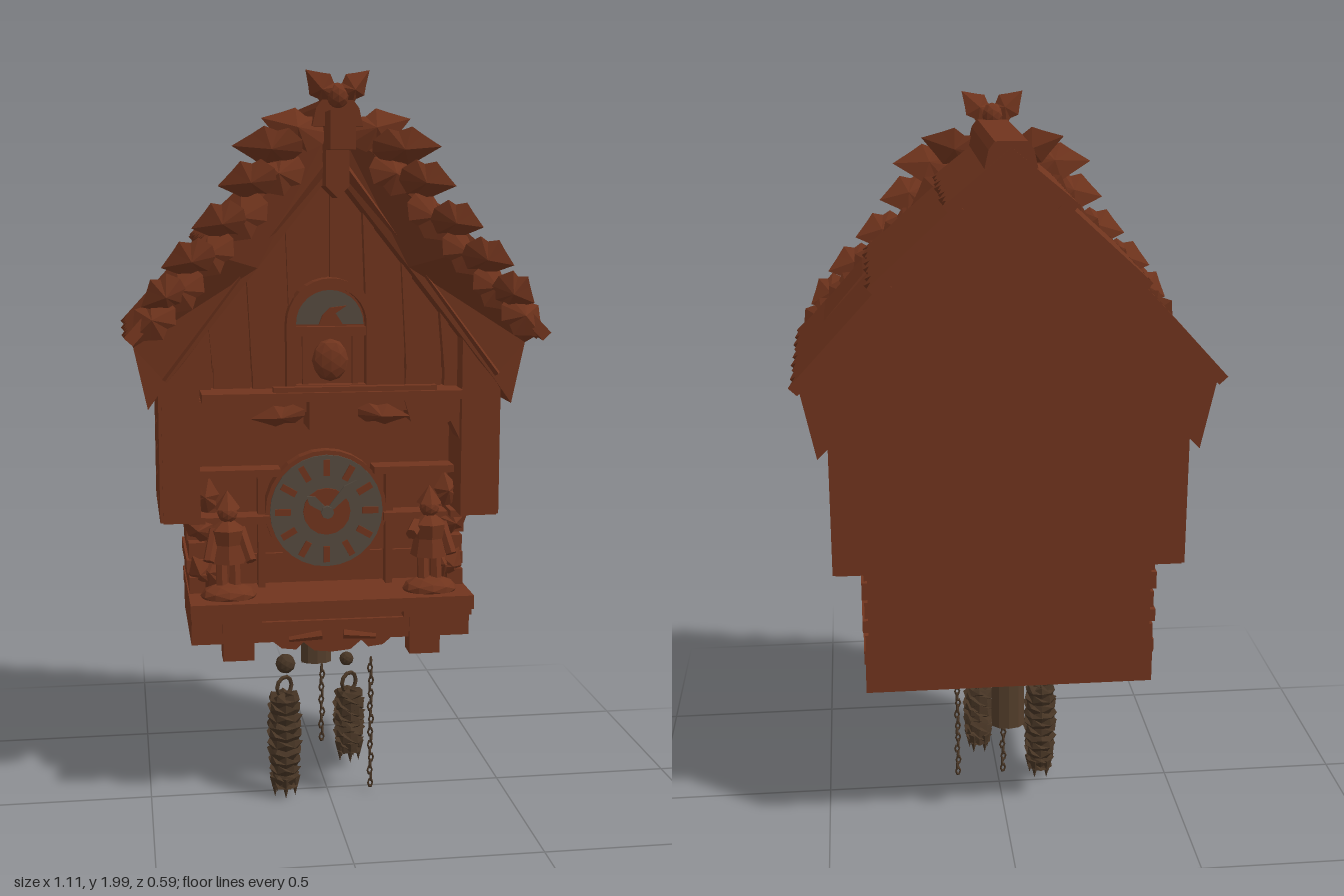
import * as THREE from 'three';

const material = (name, color) => Object.assign(new THREE.MeshStandardMaterial({ color }), { name });

export function createModel() {
  const root = new THREE.Group();
  root.name = 'wallClock';
  const wood = material('red brown wood', 0x70341d);
  const grey = material('weathered grey', 0x554a3f);
  const bark = material('dark bark', 0x463424);
  const rodMat = material('rod brown', 0x543e2b);

  // Facet a geometry, optionally mirrored across x = 0
  function facet(geo, mirror = false) {
    const g = geo.index ? geo.toNonIndexed() : geo.clone();
    if (mirror) {
      const p = g.attributes.position;
      for (let i = 0; i < p.count; i += 3) {
        const t = [0, 2, 1].map(k => [-p.getX(i + k), p.getY(i + k), p.getZ(i + k)]);
        t.forEach((v, k) => p.setXYZ(i + k, ...v));
      }
    }
    g.computeVertexNormals();
    return g;
  }
  function add(name, geo, mat = wood, mirror = false) {
    const m = new THREE.Mesh(facet(geo, mirror), mat);
    m.name = name;
    root.add(m);
  }
  const pair = (name, geo, mat = wood) => {
    add(name + 'Left', geo, mat);
    add(name + 'Right', geo, mat, true);
  };
  // Box given by its minimum and maximum corners
  const box = (x0, x1, y0, y1, z0, z1) => new THREE.BoxGeometry(x1 - x0, y1 - y0, z1 - z0)
    .translate((x0 + x1) / 2, (y0 + y1) / 2, (z0 + z1) / 2);
  const shapeOf = pts => new THREE.Shape(pts.map(p => new THREE.Vector2(...p)));
  const prism = (pts, z0, z1) => new THREE.ExtrudeGeometry(shapeOf(pts),
    { depth: z1 - z0, bevelEnabled: false, curveSegments: 8 }).translate(0, 0, z0);
  const ball = (r, x, y, z, sx = 1, sy = 1, sz = 1) =>
    new THREE.IcosahedronGeometry(r, 1).scale(sx, sy, sz).translate(x, y, z);
  const bar = (a, b, r0, r1 = r0, sides = 6) => {
    const A = new THREE.Vector3(...a), B = new THREE.Vector3(...b), d = B.clone().sub(A);
    const q = new THREE.Quaternion().setFromUnitVectors(new THREE.Vector3(0, 1, 0), d.clone().normalize());
    return new THREE.CylinderGeometry(r1, r0, d.length(), sides).applyQuaternion(q)
      .translate((a[0] + b[0]) / 2, (a[1] + b[1]) / 2, (a[2] + b[2]) / 2);
  };
  const roofFront = y => 0.15 + (1.9 - y) * 0.2;

  // House body: gable block over a narrower, recessed lower block
  const half = [[0.45, 1.12], [0.45, 1.18], [0.49, 1.14], [0.53, 1.33], [0.35, 1.55], [0.17, 1.74]];
  add('gableBlock', prism([...half, [0, 1.88], ...half.map(([x, y]) => [-x, y]).reverse()], -0.3, 0.01));
  add('lowerBlock', box(-0.375, 0.375, 0.6, 1.13, -0.3, -0.08));
  pair('sideWing', box(0.355, 0.455, 0.82, 1.4, -0.3, 0.105));
  [[-0.3, -0.2], [-0.192, -0.08], [-0.072, 0.1]].forEach(([a, b]) => pair('wingPlank', box(0.45, 0.463, 0.822, 1.19, a, b)));
  [[0.6, 0.648, 0.02], [0.656, 0.69, -0.01], [0.697, 0.742, 0.005], [0.75, 0.798, 0], [0.804, 0.822, 0.05]].forEach(([a, b, z], i) =>
    pair('sideLog', box(0.34, 0.384 + 0.006 * (i % 2), a, b, -0.3, z)));

  // Gable planks with tapering battens
  for (let i = 0; i < 4; i++) {
    const a = 0.004 + i * 0.105, b = a + 0.098, top = x => 1.8 - x * 1.2;
    pair('gablePlank', prism([[a, 1.15], [b, 1.15], [b, top(b)], [a, top(a)]], 0, 0.03 + 0.012 * (i % 2)));
    if (i) pair('gableBatten', prism([[a - 0.004, 1.22], [a + 0.012, top(a)], [a - 0.022, top(a)]], 0.02, 0.06));
  }

  // Deep bargeboards, leaning forward towards the eaves
  const barge = prism([[0, 1.88], [0, 1.75], [0.2, 1.5], [0.44, 1.2], [0.49, 1.13], [0.525, 1.295], [0.54, 1.34], [0.36, 1.55], [0.17, 1.74]], 0, 1);
  const bp = barge.attributes.position;
  for (let i = 0; i < bp.count; i++) {
    const y = bp.getY(i), outer = 1.88 - Math.abs(bp.getX(i)) * 1.1 < y + 0.06;
    bp.setZ(i, bp.getZ(i) < 0.5 ? 0 : y < 1.3 ? 0.11 : outer ? roofFront(y) - 0.01 : 0.13);
  }
  pair('bargeboard', barge);
  pair('bargeTrim', bar([0.02, 1.77, 0.13], [0.45, 1.21, 0.1], 0.018, 0.018, 4));

  // Roof tiers with wavy lower edges
  [[[0, 1.91], [0.17, 1.77]], [[0.13, 1.78], [0.36, 1.57]], [[0.31, 1.595], [0.555, 1.33]]].forEach(([a, b], t) => {
    const d = new THREE.Vector3(b[0] - a[0], b[1] - a[1], 0), L = d.length();
    d.normalize();
    const zf = roofFront(b[1]) + 0.01, pts = [[-0.303, 0], [roofFront(a[1]), 0]];
    for (let k = 0; k <= 16; k++) pts.push([zf - (zf + 0.303) * k / 16, L - (k % 2 ? 0.018 : 0) - 0.004 * ((k * 7 + t) % 3)]);
    const tile = new THREE.ExtrudeGeometry(shapeOf(pts), { depth: 0.03, bevelEnabled: false }).translate(0, 0, -0.03);
    const m = new THREE.Matrix4().makeBasis(new THREE.Vector3(0, 0, 1), d, new THREE.Vector3(-d.y, d.x, 0));
    pair('roofTier', tile.applyMatrix4(m.setPosition(a[0], a[1], 0)));
  });
  add('ridgeCap', prism([[-0.065, 1.86], [0.065, 1.86], [0.055, 1.905], [0.04, 1.925], [-0.04, 1.925], [-0.055, 1.905]], -0.3, 0.2));
  add('ridgeBlock', prism([[-0.032, 1.8], [0.032, 1.8], [0.032, 1.895], [-0.032, 1.895]], 0.15, 0.29));
  add('gablePendant', prism([[-0.03, 1.8], [-0.03, 1.71], [0, 1.68], [0.03, 1.71], [0.03, 1.8]], 0.1, 0.2));

  // Carved leaves: lobed blade, ridged in front and behind
  function leaf(len, w, angle, x, y, z, tilt = 0.2, thick = 0.025) {
    const edge = [[0, 0.15], [0.2, 0.45], [0.36, 0.38], [0.55, 0.5], [0.72, 0.3]];
    const up = edge.map(([u, v]) => [u * len, v * w]);
    const pts = [...up.map(([u, v]) => [u, -v]), [len, 0], ...up.reverse()];
    const pos = [], n = pts.length;
    for (let i = 0; i < n; i++) {
      const p = [...pts[i], 0], q = [...pts[(i + 1) % n], 0];
      pos.push(...p, ...q, len * 0.45, 0, thick, ...q, ...p, len * 0.45, 0, -thick * 0.6);
    }
    const g = new THREE.BufferGeometry().setAttribute('position', new THREE.Float32BufferAttribute(pos, 3));
    return g.rotateX(tilt).rotateZ(angle).translate(x, y, z);
  }
  [[0.03, 1.83, 0.3, 0.17], [0.09, 1.81, 0, 0.18], [0.09, 1.77, -0.5, 0.15], [0.16, 1.74, -0.2, 0.15],
    [0.19, 1.68, -0.75, 0.17], [0.24, 1.64, -0.25, 0.14], [0.28, 1.59, -0.8, 0.16], [0.32, 1.55, -0.3, 0.14],
    [0.36, 1.5, -0.85, 0.15], [0.4, 1.47, -0.5, 0.12], [0.43, 1.42, -0.75, 0.14]]
    .forEach(([x, y, a, l], i) => pair('roofLeaf', leaf(l, 0.105, a, x, y, roofFront(y) + (i % 2 ? 0.03 : 0.01), i % 2 ? 0.35 : -0.2)));
  pair('finialLeaf', leaf(0.115, 0.075, 0.78, 0, 1.918, 0.195, 0.3));
  add('finialBud', ball(0.03, 0, 1.935, 0.195, 1, 1.1, 0.9));

  // Arched bird door
  const arch = (r, y0, yc) => {
    const s = new THREE.Shape().moveTo(-r, y0).lineTo(r, y0).lineTo(r, yc);
    s.absarc(0, yc, r, 0, Math.PI);
    return s.closePath();
  };
  const frame = arch(0.12, 1.17, 1.35);
  frame.holes.push(arch(0.095, 1.185, 1.35));
  add('doorFrame', new THREE.ExtrudeGeometry(frame, { depth: 0.08, bevelEnabled: false, curveSegments: 8 }).translate(0, 0, 0.01));
  add('doorPanel', new THREE.ExtrudeGeometry(arch(0.098, 1.18, 1.35), { depth: 0.02, bevelEnabled: false, curveSegments: 8 }).translate(0, 0, 0.03));
  add('doorLunette', new THREE.CircleGeometry(0.092, 14, 0, Math.PI).translate(0, 1.345, 0.054), grey);
  add('doorRail', box(-0.1, 0.1, 1.315, 1.34, 0.04, 0.075));
  add('bird', ball(0.05, 0, 1.25, 0.065, 1, 1.15, 0.5));
  add('lunetteBird', prism([[-0.03, 1.345], [0.035, 1.345], [0.015, 1.375], [0.045, 1.395], [0, 1.39], [-0.02, 1.37]], 0.05, 0.063));
  pair('doorPost', box(0.06, 0.075, 1.18, 1.32, 0.04, 0.07));

  // Balcony and carved frieze
  add('balcony', box(-0.35, 0.35, 1.148, 1.172, -0.02, 0.145));
  add('balconyRail', box(-0.16, 0.28, 1.165, 1.185, 0.1, 0.13));
  add('friezePlaque', box(-0.065, 0.065, 1.07, 1.15, 0, 0.135));
  add('frieze', box(-0.36, 0.36, 1.11, 1.15, -0.08, 0.07));
  pair('friezeBracket', prism([[0.36, 1.145], [0.2, 1.145], [0.22, 1.08], [0.28, 1.05], [0.33, 1.08], [0.36, 1.02]], 0, 0.08));
  pair('friezeLeaf', leaf(0.15, 0.06, -0.1, 0.07, 1.11, 0.075));

  // Recessed front boards and rails
  [[0.605, 0.69], [0.695, 0.79], [0.795, 0.925], [0.93, 1.13]].forEach(([a, b], i) =>
    add('frontBoard', box(-0.36, 0.36, a, b, -0.1, -0.06 + 0.008 * (i % 2))));
  pair('crossBeam', box(0.13, 0.37, 0.925, 0.945, -0.08, 0.02));
  pair('sidePanelRail', box(0.16, 0.38, 0.79, 0.812, -0.08, 0.01));
  pair('panelStile', box(0.17, 0.19, 0.6, 0.93, -0.08, -0.02));

  // Clock dial with plain hour marks
  const disc = (r, z0, z1, n = 28) => new THREE.CylinderGeometry(r, r, z1 - z0, n).rotateX(Math.PI / 2).translate(0, 0.82, (z0 + z1) / 2 - 0.07);
  add('dialRim', disc(0.17, 0, 0.06));
  add('dialFace', disc(0.158, 0.05, 0.067), grey);
  add('dialCentre', disc(0.066, 0.06, 0.074, 16));
  for (let i = 0; i < 12; i++)
    add('hourMark', box(-0.009, 0.009, 0.1, 0.145, -0.006, 0.003).rotateZ(i * Math.PI / 6).translate(0, 0.82, 0));
  [[0.075, 0.9], [0.12, -0.75]].forEach(([l, a]) =>
    add('hand', prism([[-0.006, 0], [0.006, 0], [0.014, l * 0.7], [0, l], [-0.014, l * 0.7]], 0.005, 0.012).rotateZ(a).translate(0, 0.82, 0), grey));
  add('handHub', disc(0.018, 0.07, 0.09, 8), grey);

  // Base: shelf above a hollow box
  add('shelf', box(-0.388, 0.388, 0.565, 0.603, -0.3, 0.145));
  pair('baseSide', box(0.355, 0.385, 0.48, 0.57, -0.3, 0.1));
  add('baseBack', box(-0.38, 0.38, 0.48, 0.6, -0.3, -0.275));
  add('baseFront', box(-0.38, 0.38, 0.48, 0.57, 0.075, 0.1));
  pair('cornerBlock', box(0.215, 0.3, 0.435, 0.585, 0.05, 0.115));
  pair('blockCap', box(0.195, 0.385, 0.545, 0.57, 0.07, 0.13));
  pair('apron', prism([[0, 0.54], [0, 0.45], [0.05, 0.455], [0.08, 0.48], [0.1, 0.46], [0.14, 0.465], [0.17, 0.49], [0.22, 0.5], [0.22, 0.54]], 0.08, 0.112));
  pair('apronScroll', bar([0.03, 0.5, 0.112], [0.12, 0.49, 0.112], 0.014, 0.008));

  // Carved figures on the shelf
  [-1, 1].forEach(s => {
    const fig = (name, g) => add(name, g, wood, s < 0);
    fig('figureMound', ball(0.065, 0.28, 0.61, 0.065, 1.2, 0.5, 0.85));
    const coat = [[0.001, 0.69], [0.052, 0.7], [0.042, 0.75], [0.048, 0.79], [0.015, 0.815], [0.001, 0.815]].map(p => new THREE.Vector2(...p));
    fig('figureCoat', new THREE.LatheGeometry(coat, 7).translate(0.28, 0, 0.05));
    [0.262, 0.298].forEach(x => fig('figureLeg', bar([x, 0.61, 0.065], [x, 0.71, 0.05], 0.018, 0.016)));
    fig('figureHead', ball(0.028, 0.28, 0.835, 0.05));
    fig('figureHat', new THREE.ConeGeometry(0.036, 0.05, 7).translate(0.28, 0.872, 0.047));
    fig('outerArm', bar([0.315, 0.79, 0.05], [0.335, 0.71, 0.09], 0.016));
    fig('innerArm', bar([0.245, 0.79, 0.05], [0.22, 0.74 + 0.03 * s, 0.1], 0.016));
    [[0.34, 0.62, 1.9], [0.33, 0.62, 1.1], [0.34, 0.83, 1.7], [0.32, 0.76, 0.6]].forEach(([x, y, a]) => fig('shelfLeaf', leaf(0.1, 0.07, a, x, y, 0.01)));
  });

  // Pendulum rod
  add('pendulumRod', new THREE.CylinderGeometry(0.046, 0.046, 0.28, 10).scale(1, 1, 0.68).translate(-0.003, 0.46, -0.212), rodMat);

  // Pine cone weights with hooks and beads
  function cone(x, y0, y1, r, z) {
    const rows = 11, pts = [new THREE.Vector2(0.001, y0 + 0.03)];
    for (let i = 0; i < rows; i++) {
      const t = i / (rows - 1), w = r * (0.72 + 0.28 * Math.sin(Math.PI * (0.05 + 0.75 * t)));
      const y = y0 + 0.03 + (y1 - y0 - 0.04) * t;
      pts.push(new THREE.Vector2(w, y), new THREE.Vector2(w * 0.8, y + 0.012));
    }
    pts.push(new THREE.Vector2(0.001, y1));
    const g = new THREE.LatheGeometry(pts, 10), p = g.attributes.position;
    for (let i = 0; i < p.count; i++) {
      const a = Math.atan2(p.getX(i), p.getZ(i)), k = Math.sin(5 * a + p.getY(i) * 160);
      p.setXYZ(i, p.getX(i) * (1 + 0.08 * k), p.getY(i) + 0.007 * k, p.getZ(i) * (1 + 0.08 * k));
    }
    add('pineCone', g.translate(x, 0, z), bark);
    for (let i = 0; i < 5; i++) {
      const a = i * 1.257;
      add('coneTip', new THREE.ConeGeometry(0.015, 0.06, 4).rotateX(Math.PI)
        .translate(x + Math.sin(a) * r * 0.6, y0 + 0.03, z + Math.cos(a) * r * 0.6), bark);
    }
    add('coneHook', new THREE.TorusGeometry(0.027, 0.006, 5, 10).rotateY(0.6).translate(x, y1 + 0.025, z), bark);
  }
  cone(-0.125, 0.01, 0.305, 0.05, 0.035);
  cone(0.058, 0.105, 0.31, 0.046, 0.035);
  add('hookBead', ball(0.028, -0.122, 0.398, 0.04), bark);
  add('hookBead', ball(0.02, 0.05, 0.405, 0.04), bark);

  // Chains of alternating links
  function chain(x, z, y0, y1) {
    for (let y = y0 + 0.012, i = 0; y < y1; y += 0.019, i++)
      add('chainLink', new THREE.TorusGeometry(0.0075, 0.0032, 4, 6).scale(0.9, 1.5, 1)
        .rotateY(i % 2 ? 1.3 : 0.2).translate(x + 0.002 * Math.sin(i * 2), y, z), bark);
  }
  chain(0.12, 0.035, 0.02, 0.4);
  chain(0, -0.11, 0.11, 0.35);
  return root;
}
